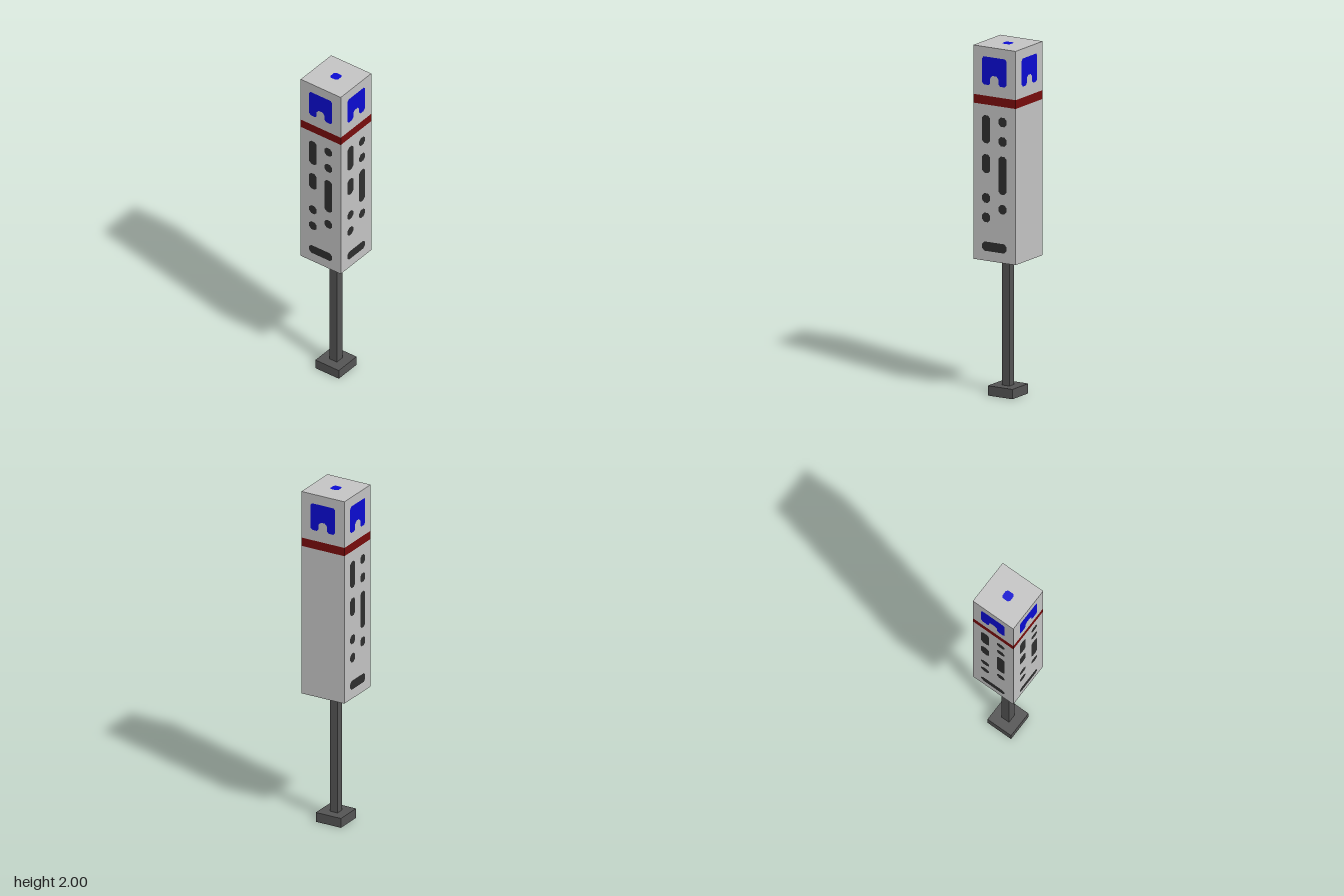
import * as THREE from 'three';

const HALF = 0.139;

const mat = (name, color) => {
  const m = new THREE.MeshStandardMaterial({ color });
  m.name = name;
  return m;
};

// Bar or dot with clipped corners
function clippedBar(x0, x1, y0, y1, c) {
  return new THREE.Shape([
    [x0 + c, y0], [x1 - c, y0], [x1, y0 + c], [x1, y1 - c],
    [x1 - c, y1], [x0 + c, y1], [x0, y1 - c], [x0, y0 + c],
  ].map(([x, y]) => new THREE.Vector2(x, y)));
}

// Square emblem with an arched notch between two legs
function emblemShape() {
  const right = [
    [0.013, 1.84], [0.027, 1.825], [0.027, 1.797], [0.038, 1.785],
    [0.067, 1.785], [0.08, 1.797], [0.08, 1.933], [0.07, 1.945],
  ];
  const left = right.map(([x, y]) => [-x, y]).reverse();
  return new THREE.Shape([...right, ...left].map(([x, y]) => new THREE.Vector2(x, y)));
}

export function createModel() {
  const model = new THREE.Group();
  model.name = 'pillarSign';

  const grey = mat('light grey', 0xc4c4c4);
  const red = mat('dark red', 0x780c0c);
  const blue = mat('blue', 0x0b0bd2);
  const dark = mat('charcoal', 0x2e2e2e);
  const steel = mat('steel grey', 0x545454);

  const block = (name, half, y0, y1, material) => {
    const mesh = new THREE.Mesh(new THREE.BoxGeometry(half * 2, y1 - y0, half * 2), material);
    mesh.position.y = (y0 + y1) / 2;
    mesh.name = name;
    model.add(mesh);
  };

  // Stand and sign body
  block('base', 0.081, 0, 0.056, steel);
  block('post', 0.025, 0.056, 0.783, steel);
  block('lowerBody', HALF, 0.783, 1.672, grey);
  block('band', HALF, 1.672, 1.722, red);
  block('upperBody', HALF, 1.722, 2, grey);

  // Marks in two columns, and one wide bar below
  const L = [-0.08, -0.027], R = [0.027, 0.08];
  const marks = [
    [...L, 1.452, 1.611], [...L, 1.283, 1.389], [...L, 1.113, 1.167], [...L, 1.003, 1.056],
    [...R, 1.558, 1.611], [...R, 1.447, 1.5], [...R, 1.172, 1.389], [...R, 1.061, 1.114],
    [-0.08, 0.08, 0.839, 0.892],
  ].map(([x0, x1, y0, y1]) => clippedBar(x0, x1, y0, y1, 0.015));
  const markGeometry = new THREE.ShapeGeometry(marks);
  const emblemGeometry = new THREE.ShapeGeometry(emblemShape());

  // Emblem on all four sides; marks on all but the back
  ['front', 'left', 'back', 'right'].forEach((side, i) => {
    const panel = new THREE.Group();
    panel.name = side + 'Panel';
    panel.rotation.y = i * Math.PI / 2;
    const add = (name, geometry, material) => {
      const mesh = new THREE.Mesh(geometry, material);
      mesh.position.z = HALF + 0.0015;
      mesh.name = name;
      panel.add(mesh);
    };
    add('emblem', emblemGeometry, blue);
    if (side !== 'back') add('marks', markGeometry, dark);
    model.add(panel);
  });

  // Small dot on the roof
  const dot = new THREE.Mesh(
    new THREE.ShapeGeometry(clippedBar(-0.027, 0.027, -0.027, 0.027, 0.01)), blue);
  dot.rotation.x = -Math.PI / 2;
  dot.position.y = 2.0005;
  dot.name = 'roofDot';
  model.add(dot);

  return model;
}
